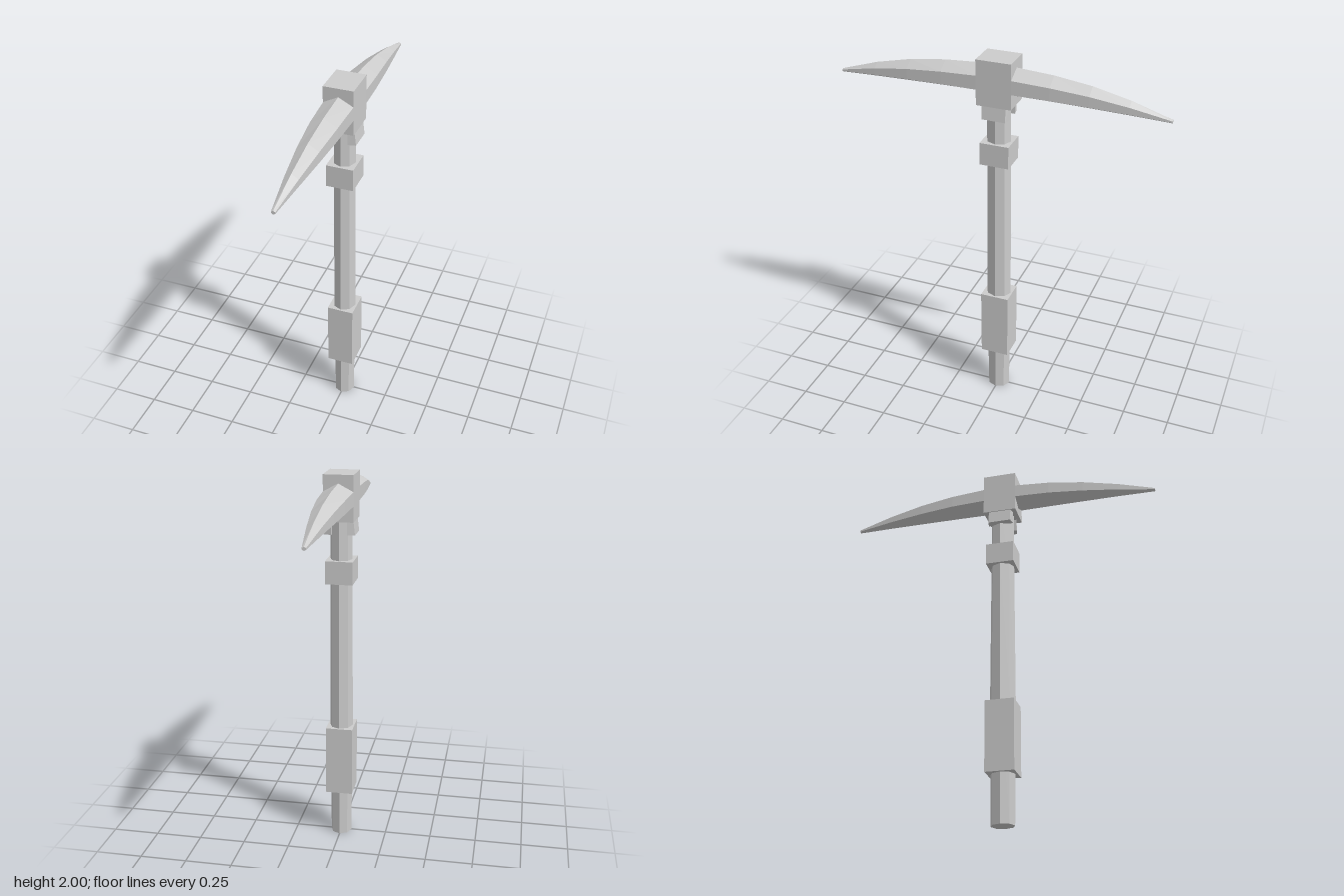
import * as THREE from 'three';

export function createModel() {
  const model = new THREE.Group();
  const grey = new THREE.MeshStandardMaterial({ color: 0xcccccc, flatShading: true });
  grey.name = 'plain grey';

  function add(name, geometry, y = 0) {
    const mesh = new THREE.Mesh(geometry, grey);
    mesh.name = name;
    mesh.position.y = y;
    model.add(mesh);
    return mesh;
  }

  // Box between two heights
  const block = (name, w, d, y0, y1) =>
    add(name, new THREE.BoxGeometry(w, y1 - y0, d), (y0 + y1) / 2);

  // Eight-sided shaft, a little deeper than wide
  const profile = [[0, 0], [0.056, 0], [0.062, 0.64], [0.058, 1.44], [0.057, 1.78], [0, 1.78]]
    .map(([r, y]) => new THREE.Vector2(r, y));
  const shaft = new THREE.LatheGeometry(profile, 8);
  shaft.scale(1, 1, 1.11);
  add('shaft', shaft);

  // Square grip, band and head block
  block('grip', 0.143, 0.154, 0.26, 0.64);
  block('band', 0.143, 0.154, 1.44, 1.56);
  block('headBlock', 0.154, 0.182, 1.765, 2);

  // Flared cheek plates below the head, one on each side
  for (const side of [1, -1]) {
    const plate = new THREE.BoxGeometry(0.04, 0.07, 0.13);
    const p = plate.attributes.position;
    for (let i = 0; i < p.count; i++) {
      const outer = p.getX(i) * side > 0;
      const low = p.getY(i) < 0;
      p.setX(i, side * (outer ? (low ? 0.08 : 0.072) : 0.04));
      p.setZ(i, Math.sign(p.getZ(i)) * (outer ? 0.062 : 0.07));
    }
    add(side > 0 ? 'leftCheekPlate' : 'rightCheekPlate', plate, 1.73);
  }

  // Curved pick: hexagonal sections as z, half width, top, shoulder, lower edge, keel
  const half = [
    [0.09, 0.076, 1.957, 1.917, 1.845, 1.81],
    [0.28, 0.069, 1.945, 1.907, 1.842, 1.809],
    [0.47, 0.054, 1.92, 1.887, 1.833, 1.806],
    [0.66, 0.034, 1.877, 1.855, 1.82, 1.802],
    [0.86, 0.01, 1.814, 1.81, 1.802, 1.796],
  ];
  const stations = [...half.map(([z, ...rest]) => [-z, ...rest]).reverse(), ...half];
  const points = [];
  const index = [];
  for (const [z, w, top, up, low, keel] of stations) {
    points.push(0, top, z, -w, up, z, -w, low, z, 0, keel, z, w, low, z, w, up, z);
  }
  for (let s = 0; s < stations.length - 1; s++) {
    for (let i = 0; i < 6; i++) {
      const a = s * 6 + i, b = s * 6 + (i + 1) % 6;
      index.push(a, b, b + 6, a, b + 6, a + 6);
    }
  }
  const last = (stations.length - 1) * 6;
  for (let i = 1; i < 5; i++) {
    index.push(0, i + 1, i, last, last + i, last + i + 1);
  }
  const pick = new THREE.BufferGeometry();
  pick.setAttribute('position', new THREE.Float32BufferAttribute(points, 3));
  pick.setIndex(index);
  pick.computeVertexNormals();
  add('pickBlade', pick);

  return model;
}
